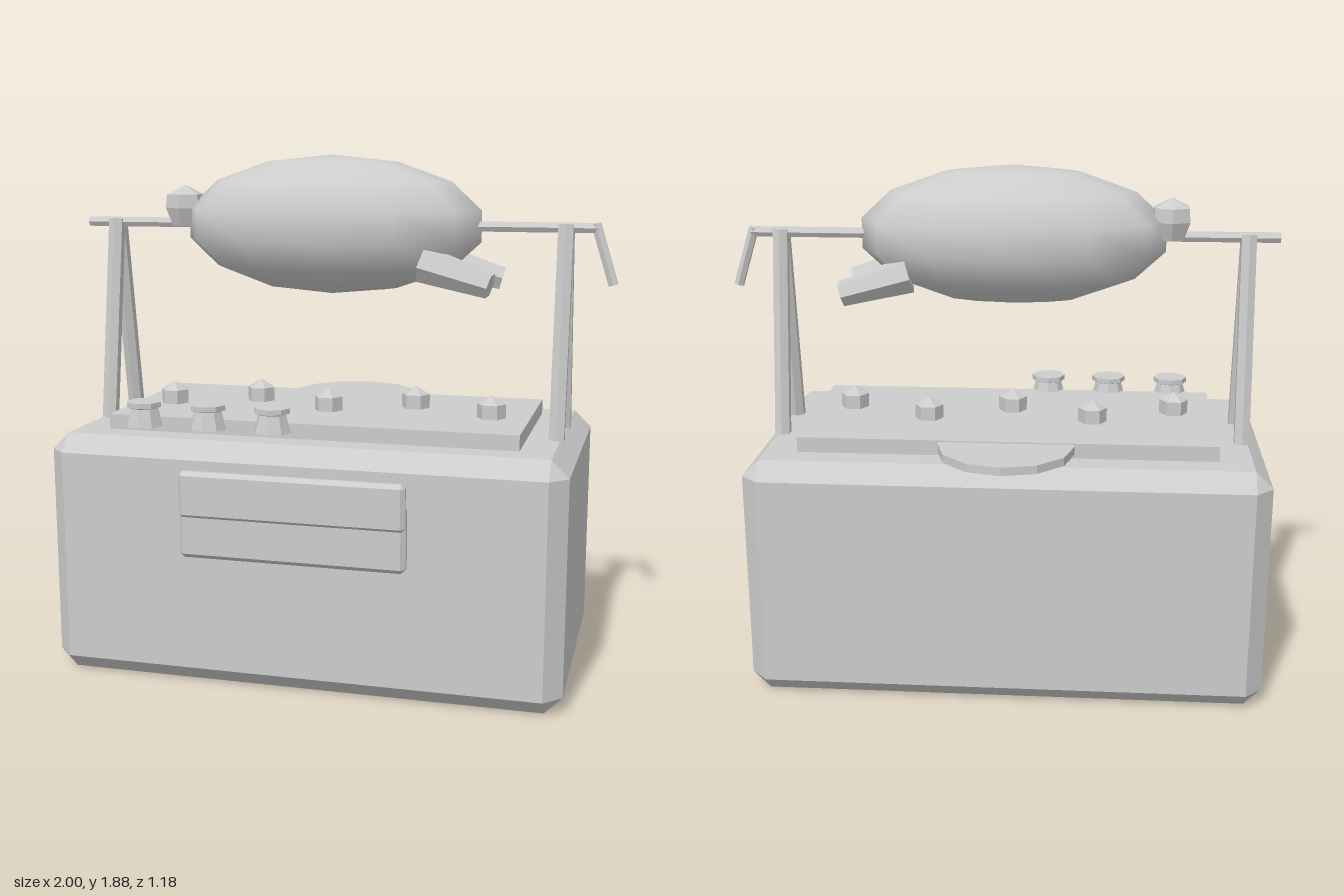
import * as THREE from 'three';
import { ConvexGeometry } from 'three/addons/geometries/ConvexGeometry.js';

const grey = new THREE.MeshStandardMaterial({ color: 0xcccccc });
grey.name = 'plain grey';

// Faceted copy of a geometry
function flat(geometry) {
  const g = geometry.index ? geometry.toNonIndexed() : geometry;
  g.computeVertexNormals();
  return g;
}

// Box with every edge cut at 45 degrees, given by its bounds
function chamferBox(min, max, c) {
  const points = [];
  for (let i = 0; i < 8; i++) {
    const pick = [i & 1, (i >> 1) & 1, (i >> 2) & 1];
    for (let flush = 0; flush < 3; flush++) {
      const p = pick.map((hi, k) => {
        const inset = k === flush ? 0 : c;
        return hi ? max[k] - inset : min[k] + inset;
      });
      points.push(new THREE.Vector3(...p));
    }
  }
  return new ConvexGeometry(points);
}

// Faceted, optionally tapered bar between two points
function bar(from, to, r0, r1 = r0, sides = 6) {
  const a = new THREE.Vector3(...from), b = new THREE.Vector3(...to);
  const dir = b.clone().sub(a);
  const g = flat(new THREE.CylinderGeometry(r1, r0, dir.length(), sides));
  g.applyQuaternion(new THREE.Quaternion().setFromUnitVectors(
    new THREE.Vector3(0, 1, 0), dir.normalize()));
  const mid = a.add(b).multiplyScalar(0.5);
  return g.translate(mid.x, mid.y, mid.z);
}

function lathe(points, sides) {
  return flat(new THREE.LatheGeometry(points.map(p => new THREE.Vector2(...p)), sides));
}

export function createModel() {
  const model = new THREE.Group();
  model.name = 'spitRoastGrill';
  const add = (name, geometry, x = 0, y = 0, z = 0) => {
    const mesh = new THREE.Mesh(geometry, grey);
    mesh.name = name;
    mesh.position.set(x, y, z);
    model.add(mesh);
    return mesh;
  };
  const axisY = 1.62, axisZ = 0.018;

  // Cabinet, hot plate and rear shelf
  add('cabinet', chamferBox([-0.97, 0, -0.487], [0.89, 0.89, 0.523], 0.062));
  add('hotPlate', new THREE.BoxGeometry(1.5, 0.055, 0.69), -0.04, 0.9175, 0.017);
  add('rearShelf', flat(new THREE.CylinderGeometry(0.242, 0.242, 0.03, 12)), -0.04, 0.925, -0.347);

  // Two overlapping front panels
  add('lowerPanel', chamferBox([-0.445, 0.49, 0.532], [0.363, 0.73, 0.58], 0.016));
  add('upperPanel', chamferBox([-0.443, 0.635, 0.55], [0.361, 0.802, 0.59], 0.014));

  // Zigzag row of coals
  for (let i = 0; i < 5; i++) {
    add('coal', flat(new THREE.SphereGeometry(0.061, 6, 3)),
      -0.645 + i * 0.304, 0.966, i % 2 ? -0.05 : 0.08);
  }

  // Control knobs
  const knob = lathe([[0, 0], [0.068, 0], [0.05, 0.065], [0.065, 0.07], [0.065, 0.088], [0, 0.088]], 8);
  for (const x of [-0.645, -0.4, -0.16]) add('knob', knob, x, 0.915, 0.382);

  // A-frame supports
  for (const x of [-0.887, 0.813]) {
    for (const side of [-1, 1]) {
      add('supportLeg', bar([x, 0.885, axisZ + side * 0.125], [x, 1.635, axisZ + side * 0.008], 0.031));
    }
  }

  // Spit rod and crank
  add('spitRod', bar([-1, axisY + 0.005, axisZ], [0.925, axisY + 0.005, axisZ], 0.02));
  add('crank', bar([0.915, 1.64, axisZ], [0.982, 1.427, axisZ], 0.019));

  // Roast body, smooth
  const roast = add('roastBody', new THREE.SphereGeometry(1, 12, 7), -0.04, 1.625, axisZ);
  roast.scale.set(0.568, 0.252, 0.262);

  // Faceted head stub
  add('roastHead', lathe([[0, -0.085], [0.05, -0.085], [0.075, -0.02], [0.07, 0.03], [0, 0.065]], 6),
    -0.61, 1.7, axisZ);

  // Pair of tapered legs
  for (const side of [-1, 1]) {
    add('roastLeg', bar([0.325, 1.497, axisZ + side * 0.125], [0.57, 1.428, axisZ + side * 0.152], 0.068, 0.047));
  }

  return model;
}
